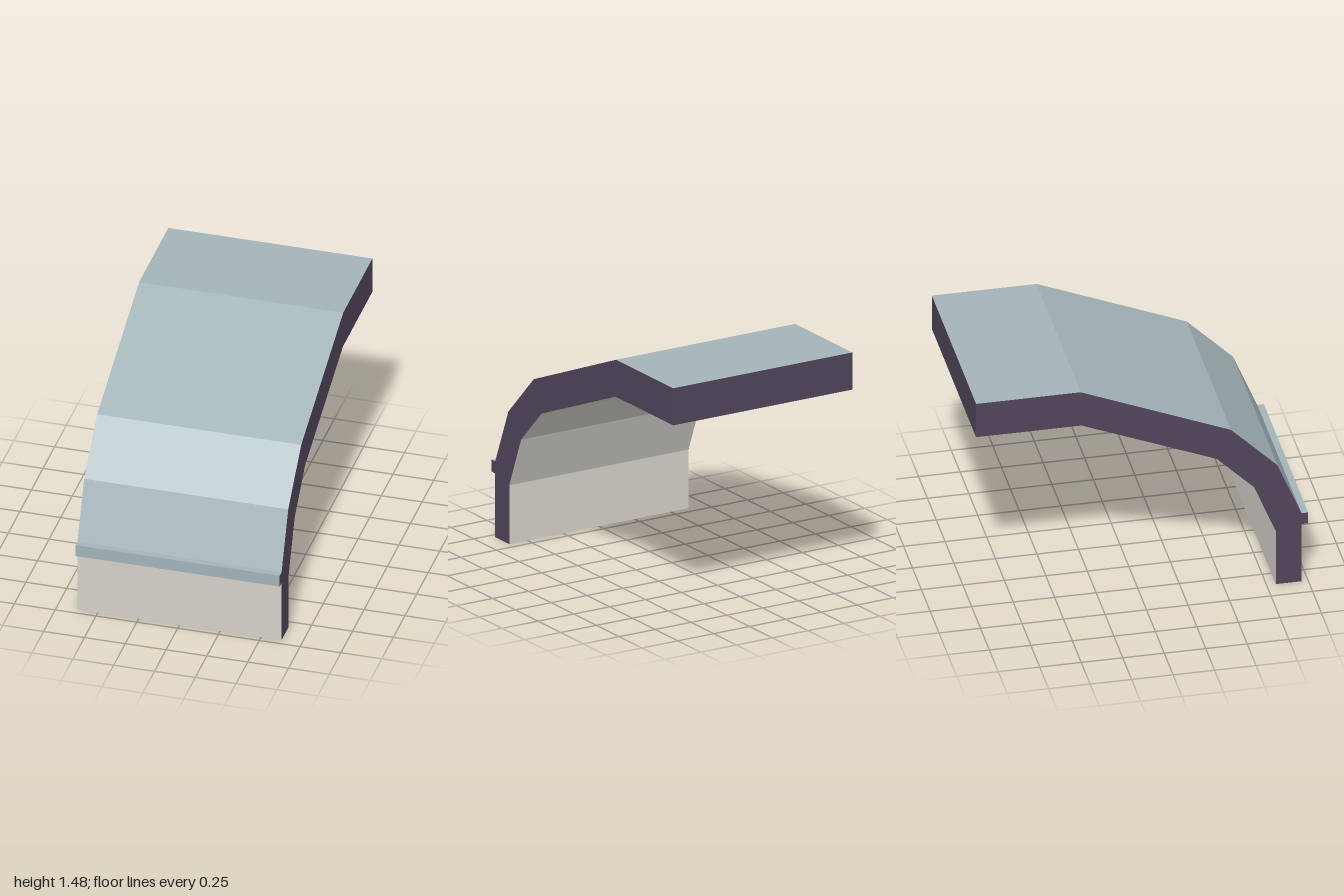
import * as THREE from 'three';

const HALF_WIDTH = 0.625;

// Closed side outline as [z, y], starting at the foot of the front wall
const OUTLINE = [
  [0.96, 0], [0.96, 0.395], [1, 0.395], [1, 0.47], [0.96, 0.47],
  [0.815, 0.82], [0.535, 1.1], [-0.37, 1.475], [-1, 1.475],
  [-1, 1.245], [-0.365, 1.245], [0.45, 0.91], [0.675, 0.685],
  [0.805, 0.365], [0.805, 0],
];

// Flat panels spanning the full width along part of the outline
function stripGeometry(from, to) {
  const positions = [];
  for (let i = from; i < to; i++) {
    const [az, ay] = OUTLINE[i];
    const [bz, by] = OUTLINE[(i + 1) % OUTLINE.length];
    const w = HALF_WIDTH;
    positions.push(-w, ay, az, w, ay, az, w, by, bz);
    positions.push(-w, ay, az, w, by, bz, -w, by, bz);
  }
  const geometry = new THREE.BufferGeometry();
  geometry.setAttribute('position', new THREE.Float32BufferAttribute(positions, 3));
  geometry.computeVertexNormals();
  return geometry;
}

// Side cap facing outwards; side is +1 for left (+x), -1 for right (-x)
function capGeometry(side) {
  const shape = new THREE.Shape(OUTLINE.map(([z, y]) => new THREE.Vector2(-side * z, y)));
  return new THREE.ShapeGeometry(shape)
    .rotateY(side * Math.PI / 2)
    .translate(side * HALF_WIDTH, 0, 0);
}

export function createModel() {
  const makeMaterial = (name, color) => {
    const material = new THREE.MeshStandardMaterial({ color, flatShading: true });
    material.name = name;
    return material;
  };
  const roofBlue = makeMaterial('roofBlue', 0xa2b3b8);
  const wallBeige = makeMaterial('wallBeige', 0xd4d1ca);
  const edgePurple = makeMaterial('edgePurple', 0x50455a);

  const group = new THREE.Group();
  group.name = 'curvedRoofSection';
  const add = (name, geometry, material) => {
    const mesh = new THREE.Mesh(geometry, material);
    mesh.name = name;
    group.add(mesh);
  };

  // Outer and inner skins
  add('frontWall', stripGeometry(0, 1), wallBeige);
  add('ledgeUnderside', stripGeometry(1, 2), edgePurple);
  add('ledge', stripGeometry(2, 4), roofBlue);
  add('roof', stripGeometry(4, 8), roofBlue);
  add('innerLining', stripGeometry(9, 14), wallBeige);

  // Cut faces
  add('backEnd', stripGeometry(8, 9), edgePurple);
  add('wallBase', stripGeometry(14, 15), edgePurple);
  add('leftSide', capGeometry(1), edgePurple);
  add('rightSide', capGeometry(-1), edgePurple);

  return group;
}
